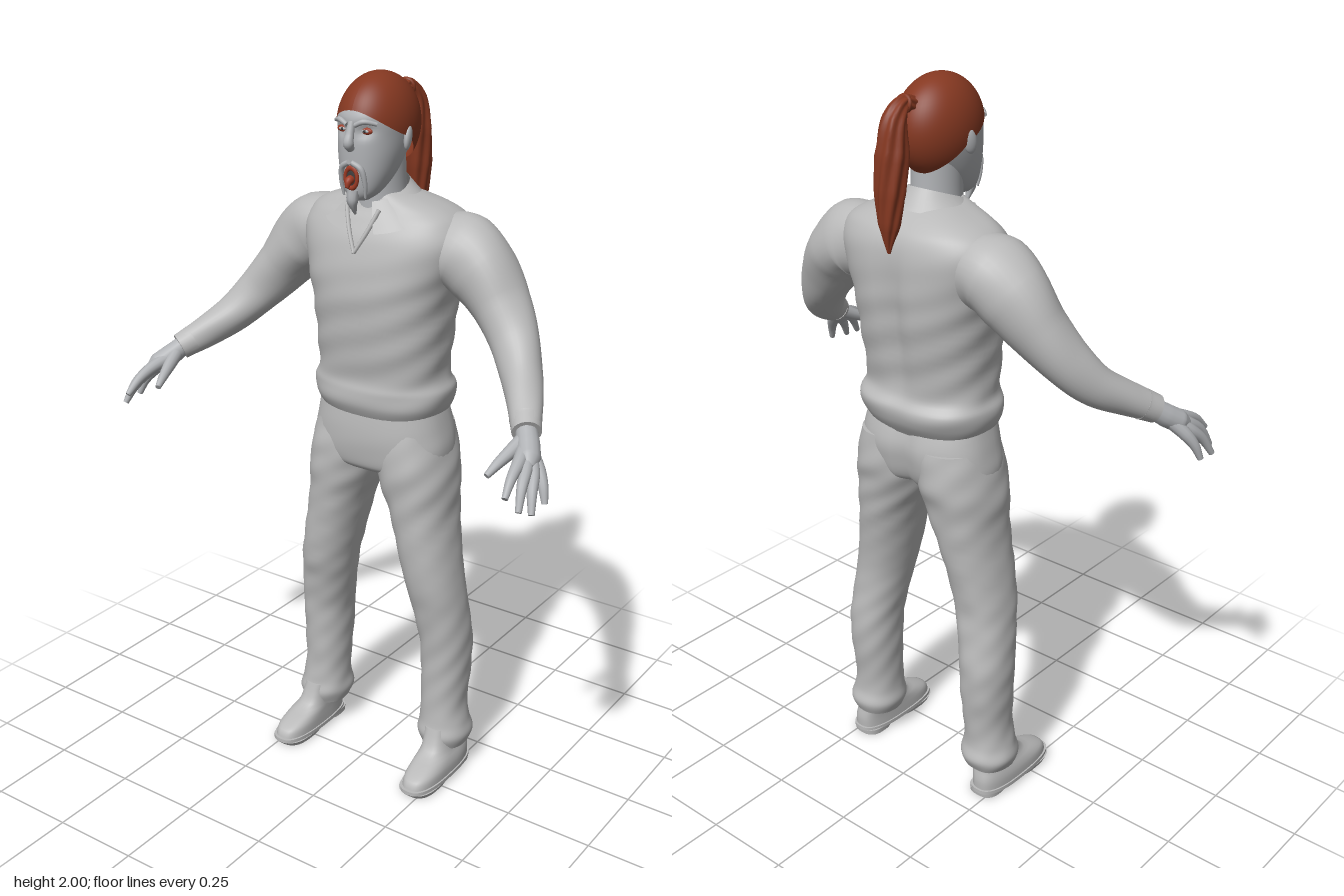
import * as THREE from 'three';

const mat = (name, color) => {
  const m = new THREE.MeshStandardMaterial({ color, side: THREE.DoubleSide });
  m.name = name;
  return m;
};
const V = (x, y, z) => new THREE.Vector3(x, y, z);

// Skin a stack of closed rings and cap both ends
function skin(rows) {
  const n = rows[0].length, pos = [], idx = [];
  rows.forEach(r => r.forEach(p => pos.push(p.x, p.y, p.z)));
  for (let j = 0; j < rows.length - 1; j++) {
    for (let i = 0; i < n; i++) {
      const a = j * n + i, b = j * n + (i + 1) % n;
      idx.push(a, a + n, b, b, a + n, b + n);
    }
  }
  [rows[0], rows[rows.length - 1]].forEach((r, end) => {
    const base = pos.length / 3, c = V(0, 0, 0);
    r.forEach(p => { c.addScaledVector(p, 1 / n); pos.push(p.x, p.y, p.z); });
    pos.push(c.x, c.y, c.z);
    for (let i = 0; i < n; i++) {
      const a = base + i, b = base + (i + 1) % n;
      idx.push(base + n, ...(end ? [b, a] : [a, b]));
    }
  });
  const g = new THREE.BufferGeometry();
  g.setAttribute('position', new THREE.Float32BufferAttribute(pos, 3));
  g.setIndex(idx);
  g.computeVertexNormals();
  return g;
}

const catmull = (a, b, c, d, t) => b + 0.5 * t * (c - a + t * (2 * a - 5 * b + 4 * c - d + t * (3 * (b - c) + d - a)));

// Upright loft; each section is [y, centreX, halfWidth, frontZ, backZ]
function loft(sections, { side = 1, p = 2.4, fold = 0, warp = null, steps = 6, n = 48 } = {}) {
  const rows = [], last = sections.length - 1;
  const at = i => sections[Math.max(0, Math.min(last, i))];
  for (let k = 0; k <= last * steps; k++) {
    const i = Math.min(last - 1, Math.floor(k / steps)), t = k / steps - i;
    const [y, xc, hw, zf, zb] = at(i).map((_, q) => catmull(at(i - 1)[q], at(i)[q], at(i + 1)[q], at(i + 2)[q], t));
    rows.push(Array.from({ length: n }, (_, j) => {
      const a = j / n * Math.PI * 2, c = Math.cos(a), s = Math.sin(a);
      const f = 1 + fold * (Math.sin(y * 43 + 3 * a * side) * Math.sin(2 * a + y * 19) + 0.5 * Math.sin(y * 75 + 5 * a));
      const v = V(side * xc + hw * f * Math.sign(c) * Math.abs(c) ** (2 / p), y,
        (zf + zb) / 2 + (zf - zb) / 2 * f * Math.sign(s) * Math.abs(s) ** (2 / p));
      if (warp) warp(v);
      return v;
    }));
  }
  return skin(rows);
}

// Tapered sweep; each point is [x, y, z, radius]
function sweep(points, { side = 1, n = 14, steps = 6, ridge = 0, lobes = 7 } = {}) {
  const curve = new THREE.CatmullRomCurve3(points.map(p => V(p[0] * side, p[1], p[2])));
  const total = (points.length - 1) * steps, rows = [];
  const frames = [];
  let nrm = null;
  for (let k = 0; k <= total; k++) {
    const t = curve.getTangent(k / total);
    if (!nrm) nrm = V(0.3, 0.2, 1).cross(t);
    nrm = nrm.clone().addScaledVector(t, -nrm.dot(t)).normalize();
    frames.push([nrm, t.clone().cross(nrm)]);
  }
  for (let k = 0; k <= total; k++) {
    const i = Math.min(points.length - 2, Math.floor(k / steps)), u = k / steps - i;
    const r = THREE.MathUtils.lerp(points[i][3], points[i + 1][3], u), c = curve.getPoint(k / total);
    rows.push(Array.from({ length: n }, (_, j) => {
      const a = j / n * Math.PI * 2, rr = r * (1 + ridge * Math.sin(lobes * a + k * 0.35));
      return c.clone().addScaledVector(frames[k][0], rr * Math.cos(a)).addScaledVector(frames[k][1], -rr * Math.sin(a));
    }));
  }
  return skin(rows);
}

const bump = (d, w) => Math.exp(-(d * d) / (w * w));

export function createModel() {
  const model = new THREE.Group();
  const cloth = mat('cloth grey', 0xb9b9b9), flesh = mat('skin grey', 0xb0b2b5);
  const hair = mat('auburn hair', 0x853821), red = mat('red', 0x9c3a24), dark = mat('dark grey', 0x3c3a3a);
  const add = (name, geo, m) => {
    const mesh = new THREE.Mesh(geo, m);
    mesh.name = name;
    model.add(mesh);
    return mesh;
  };
  const ball = (name, m, x, y, z, sx, sy, sz) => {
    const b = add(name, new THREE.SphereGeometry(1, 20, 14), m);
    b.position.set(x, y, z);
    b.scale.set(sx, sy, sz);
    return b;
  };

  // Shirt with a spine furrow and a gathered hem
  add('shirt', loft([[1.09, 0, 0.175, 0.015, -0.225], [1.13, 0, 0.195, 0.035, -0.25], [1.17, 0, 0.2, 0.035, -0.26],
    [1.21, 0, 0.185, 0.03, -0.24], [1.3, 0, 0.188, 0.042, -0.25], [1.42, 0, 0.2, 0.052, -0.268], [1.5, 0, 0.22, 0.046, -0.274],
    [1.58, 0, 0.24, 0.028, -0.27], [1.63, 0, 0.225, 0.004, -0.255], [1.66, 0, 0.185, -0.015, -0.23],
    [1.685, 0, 0.115, -0.025, -0.195], [1.7, 0, 0.07, -0.03, -0.16]], {
    fold: 0.012, n: 72,
    warp: v => { if (v.z < -0.12) v.z += 0.02 * bump(v.x, 0.035) * bump(v.y - 1.4, 0.2); },
  }), cloth);
  for (const s of [-1, 1]) {
    add('shirtOpeningEdge', sweep([[0.05, 1.665, 0.0, 0.006], [0.028, 1.61, 0.022, 0.006], [0, 1.555, 0.042, 0.005]], { side: s, n: 8 }), cloth);
  }

  // Collar: an open band whose front ends drop to points
  const collar = new THREE.PlaneGeometry(1, 1, 40, 4), cp = collar.attributes.position;
  for (let i = 0; i < cp.count; i++) {
    const a = 0.3 + (cp.getX(i) + 0.5) * (Math.PI * 2 - 0.6), d = 0.5 - cp.getY(i), f = (1 + Math.cos(a)) / 2;
    const r = 0.07 + 0.04 * d;
    cp.setXYZ(i, Math.sin(a) * r * (1 + 0.6 * d * f), 1.735 - 0.055 * f - d * (0.05 + 0.025 * f ** 3), -0.085 + Math.cos(a) * (r + 0.008));
  }
  collar.computeVertexNormals();
  add('collar', collar, cloth);

  // Trousers
  add('trouserSeat', loft([[0.93, 0, 0.17, -0.01, -0.19], [0.95, 0, 0.2, 0.012, -0.22], [1.0, 0, 0.208, 0.022, -0.238],
    [1.06, 0, 0.198, 0.024, -0.243], [1.14, 0, 0.18, 0.015, -0.22]], {
    fold: 0.005, warp: v => { if (v.z < -0.12) v.z += 0.02 * bump(v.x, 0.03); },
  }), cloth);
  for (const s of [-1, 1]) {
    add('trouserLeg', loft([[0.085, 0.215, 0.066, -0.045, -0.185], [0.12, 0.215, 0.078, -0.034, -0.198], [0.16, 0.213, 0.07, -0.042, -0.188],
      [0.22, 0.208, 0.064, -0.046, -0.188], [0.32, 0.208, 0.068, -0.045, -0.2], [0.42, 0.207, 0.071, -0.04, -0.204],
      [0.52, 0.193, 0.076, -0.025, -0.193], [0.62, 0.177, 0.079, -0.004, -0.191], [0.8, 0.14, 0.086, 0.008, -0.217],
      [0.9, 0.12, 0.104, 0.016, -0.23], [0.97, 0.108, 0.106, 0.018, -0.243], [1.06, 0.1, 0.09, 0.005, -0.235]],
    { side: s, fold: 0.017, p: 2.2 }), cloth);

    // Shoe: forefoot sole, heel, welt and upper
    const foot = (name, sections) => add(name, loft(sections, { side: s, p: 2.7, steps: 3 }), cloth);
    foot('sole', [[0, 0.229, 0.05, 0.095, -0.06], [0.014, 0.229, 0.055, 0.106, -0.07]]);
    foot('heel', [[0, 0.226, 0.045, -0.085, -0.185], [0.016, 0.226, 0.046, -0.08, -0.187]]);
    foot('welt', [[0.013, 0.229, 0.056, 0.108, -0.19], [0.024, 0.229, 0.056, 0.108, -0.19]]);
    foot('shoeUpper', [[0.022, 0.229, 0.052, 0.1, -0.184], [0.045, 0.229, 0.051, 0.09, -0.185], [0.064, 0.227, 0.048, 0.05, -0.183],
      [0.09, 0.222, 0.043, -0.01, -0.178], [0.15, 0.216, 0.04, -0.035, -0.172]]);

    // Sleeve and cuff
    add('sleeve', sweep([[0.17, 1.555, -0.135, 0.095], [0.23, 1.55, -0.135, 0.102], [0.29, 1.505, -0.13, 0.094], [0.35, 1.435, -0.115, 0.077],
      [0.41, 1.36, -0.085, 0.064], [0.46, 1.297, -0.035, 0.054], [0.51, 1.25, 0.035, 0.045], [0.55, 1.215, 0.095, 0.037]],
    { side: s, n: 32, ridge: 0.025, lobes: 3 }), cloth);
    add('cuff', sweep([[0.535, 1.228, 0.072, 0.041], [0.556, 1.21, 0.104, 0.037]], { side: s, n: 24 }), cloth);

    // Hand: palm and five fingers running out from the wrist
    add('palm', sweep([[0.55, 1.215, 0.095, 0.027], [0.572, 1.19, 0.125, 0.03], [0.593, 1.168, 0.158, 0.03], [0.605, 1.155, 0.18, 0.016]], { side: s }), flesh);
    [[[0.57, 1.185, 0.135], [0.585, 1.168, 0.19], [0.593, 1.145, 0.24], [0.6, 1.11, 0.28]],
      [[0.575, 1.185, 0.13], [0.603, 1.155, 0.187], [0.617, 1.125, 0.23], [0.628, 1.075, 0.262]],
      [[0.575, 1.185, 0.13], [0.616, 1.145, 0.175], [0.635, 1.11, 0.212], [0.65, 1.065, 0.238]],
      [[0.575, 1.185, 0.125], [0.62, 1.14, 0.152], [0.64, 1.11, 0.166], [0.653, 1.072, 0.178]],
      [[0.558, 1.2, 0.115], [0.545, 1.175, 0.165], [0.534, 1.155, 0.205], [0.525, 1.135, 0.238]],
    ].forEach((pts, i) => add(i < 4 ? 'finger' : 'thumb',
      sweep(pts.map((p, k) => [...p, [0.02, 0.017, 0.013, 0.008][k]]), { side: s, n: 12 }), flesh));
  }

  // Neck and head with sunken eye sockets
  add('neck', loft([[1.62, 0, 0.075, -0.015, -0.165], [1.7, 0, 0.064, -0.015, -0.155], [1.8, 0, 0.062, -0.01, -0.15]], { p: 2 }), flesh);
  add('head', loft([[1.69, 0, 0.022, 0.032, -0.015], [1.71, 0, 0.046, 0.044, -0.05], [1.75, 0, 0.066, 0.05, -0.1], [1.8, 0, 0.079, 0.052, -0.14],
    [1.85, 0, 0.085, 0.052, -0.17], [1.9, 0, 0.087, 0.051, -0.185], [1.94, 0, 0.074, 0.026, -0.165], [1.97, 0, 0.045, -0.015, -0.12]], {
    p: 2.2, warp: v => { if (v.z > 0) v.z -= 0.012 * bump(Math.abs(v.x) - 0.035, 0.02) * bump(v.y - 1.868, 0.016); },
  }), flesh);
  add('nose', sweep([[0, 1.89, 0.048, 0.009], [0, 1.86, 0.057, 0.011], [0, 1.838, 0.063, 0.014], [0, 1.822, 0.052, 0.01]]), flesh);
  for (const s of [-1, 1]) {
    add('brow', sweep([[0.012, 1.882, 0.053, 0.006], [0.035, 1.892, 0.048, 0.007], [0.062, 1.886, 0.028, 0.005]], { side: s, n: 10 }), flesh);
    ball('eyelid', red, s * 0.035, 1.868, 0.035, 0.018, 0.009, 0.006);
    ball('eye', flesh, s * 0.035, 1.868, 0.037, 0.012, 0.005, 0.006);
    ball('pupil', dark, s * 0.034, 1.868, 0.041, 0.004, 0.004, 0.003);
    ball('ear', flesh, s * 0.092, 1.843, -0.066, 0.01, 0.032, 0.018).rotation.set(-0.2, s * 0.35, 0);
    add('moustache', sweep([[0.004, 1.79, 0.056, 0.007], [0.028, 1.775, 0.05, 0.008], [0.036, 1.735, 0.042, 0.006], [0.033, 1.7, 0.036, 0.003]], { side: s, n: 10 }), flesh);
  }

  // Open mouth, tongue and goatee
  ball('mouth', dark, 0, 1.75, 0.049, 0.018, 0.024, 0.005);
  const lips = add('lips', new THREE.TorusGeometry(0.018, 0.005, 10, 28), red);
  lips.position.set(0, 1.75, 0.051);
  lips.scale.set(1, 1.4, 1);
  add('tongue', sweep([[0, 1.748, 0.045, 0.011], [0, 1.744, 0.062, 0.011], [0, 1.728, 0.07, 0.005]]), red);
  add('goatee', sweep([[0, 1.718, 0.042, 0.016], [0, 1.69, 0.046, 0.014], [0, 1.655, 0.034, 0.003]], { ridge: 0.1 }), flesh);

  // Hair cap: a dome with a hairline high in front and low at the nape
  const cap = new THREE.PlaneGeometry(1, 1, 64, 24), hp = cap.attributes.position;
  for (let i = 0; i < hp.count; i++) {
    const a = (hp.getX(i) + 0.5) * Math.PI * 2, f = Math.cos(a);
    const edge = f > 0 ? 1.75 - 0.55 * f ** 1.5 : 1.75 + 0.75 * (-f) ** 0.8;
    const phi = (0.5 - hp.getY(i)) * edge, r = Math.sin(phi);
    hp.setXYZ(i, 0.097 * r * Math.sin(a), 1.87 + 0.13 * Math.cos(phi), -0.072 + 0.129 * r * f);
  }
  cap.computeVertexNormals();
  add('hairCap', cap, hair);

  // Ponytail with ridged strands and a tie
  add('ponytail', sweep([[0, 1.935, -0.165, 0.02], [0, 1.945, -0.205, 0.019], [0, 1.91, -0.236, 0.03], [0, 1.83, -0.246, 0.04],
    [0, 1.74, -0.254, 0.037], [0, 1.66, -0.26, 0.026], [0, 1.59, -0.263, 0.004]], { n: 42, ridge: 0.09 }), hair);
  const tie = add('hairTie', new THREE.TorusGeometry(0.019, 0.006, 8, 20), hair);
  tie.position.set(0, 1.944, -0.202);
  tie.rotation.x = 0.25;

  return model;
}
